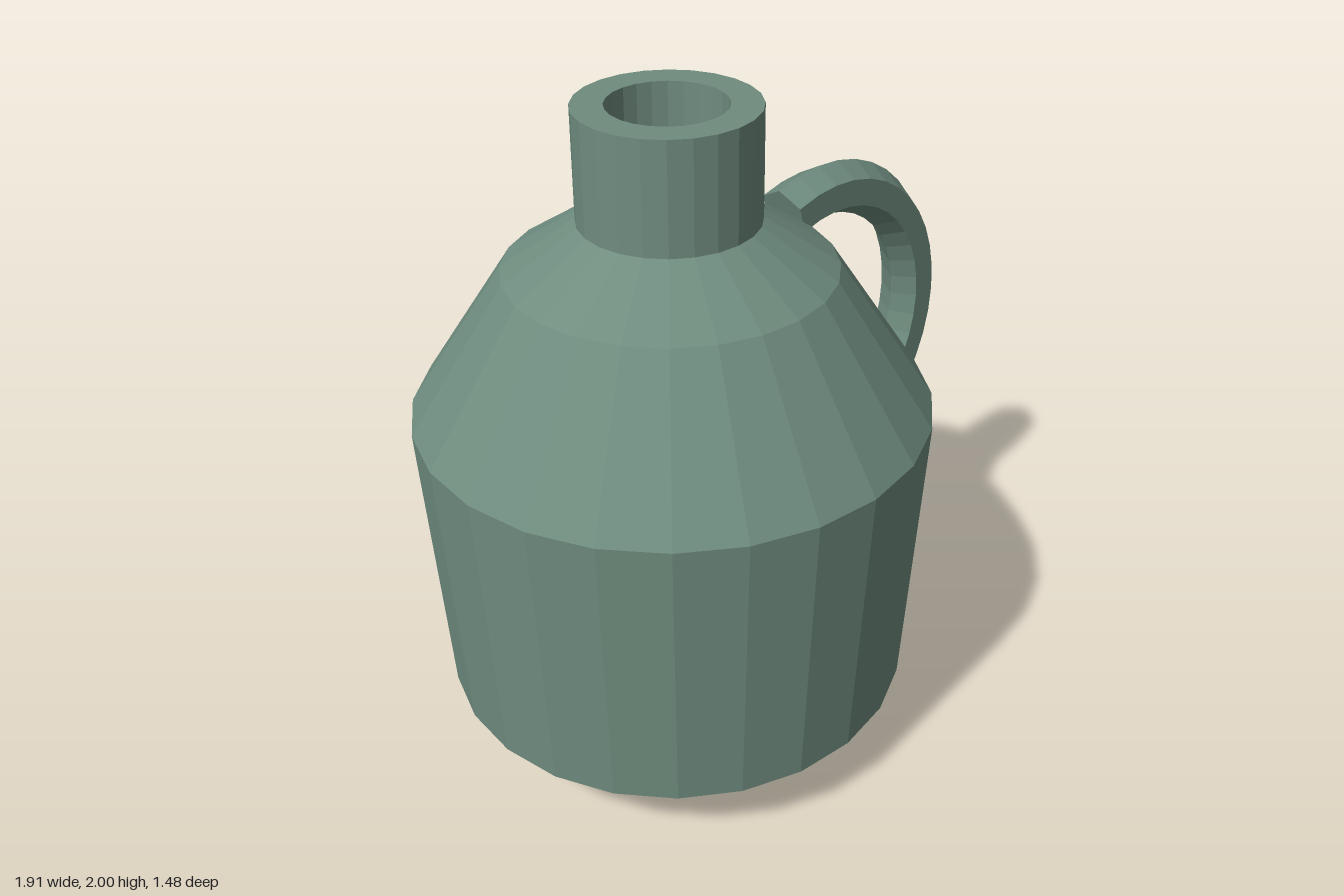
import * as THREE from 'three';
import { mergeGeometries } from 'three/addons/utils/BufferGeometryUtils.js';

const SIDES = 24;
const AXIS_X = -0.216; // body axis, offset to leave room for the handle

export function createModel() {
  const group = new THREE.Group();
  const glaze = new THREE.MeshStandardMaterial({ color: 0x6f8c7f, flatShading: true });

  const add = (name, geometry, x, y) => {
    const mesh = new THREE.Mesh(geometry, glaze);
    mesh.name = name;
    mesh.position.set(x, y, 0);
    group.add(mesh);
  };
  const lathe = (profile) =>
    new THREE.LatheGeometry(profile.map(([r, y]) => new THREE.Vector2(r, y)), SIDES);

  // Body: chamfered base, slightly flared wall, two-step shoulder
  add('body', lathe([
    [0, 0], [0.465, 0], [0.695, 0.235], [0.742, 1.12],
    [0.465, 1.54], [0.253, 1.68], [0, 1.68],
  ]), AXIS_X, 0);

  // Neck: thick-walled tube open at the top
  add('neck', lathe([[0.253, 1.68], [0.253, 2], [0.165, 2], [0.165, 1.685], [0, 1.685]]), AXIS_X, 0);

  // Handle: hexagonal-section arc with closed ends, the lower one set into the body
  const radius = 0.4825, tube = 0.0825;
  const start = THREE.MathUtils.degToRad(-107), end = -start;
  const arc = new THREE.TorusGeometry(radius, tube, 6, 24, end - start).rotateZ(start);
  const cap = (angle, tilt) =>
    new THREE.CircleGeometry(tube, 6).rotateX(tilt).translate(radius, 0, 0).rotateZ(angle);
  add('handle', mergeGeometries([arc, cap(start, Math.PI / 2), cap(end, -Math.PI / 2)]), 0.39, 1.075);

  return group;
}
